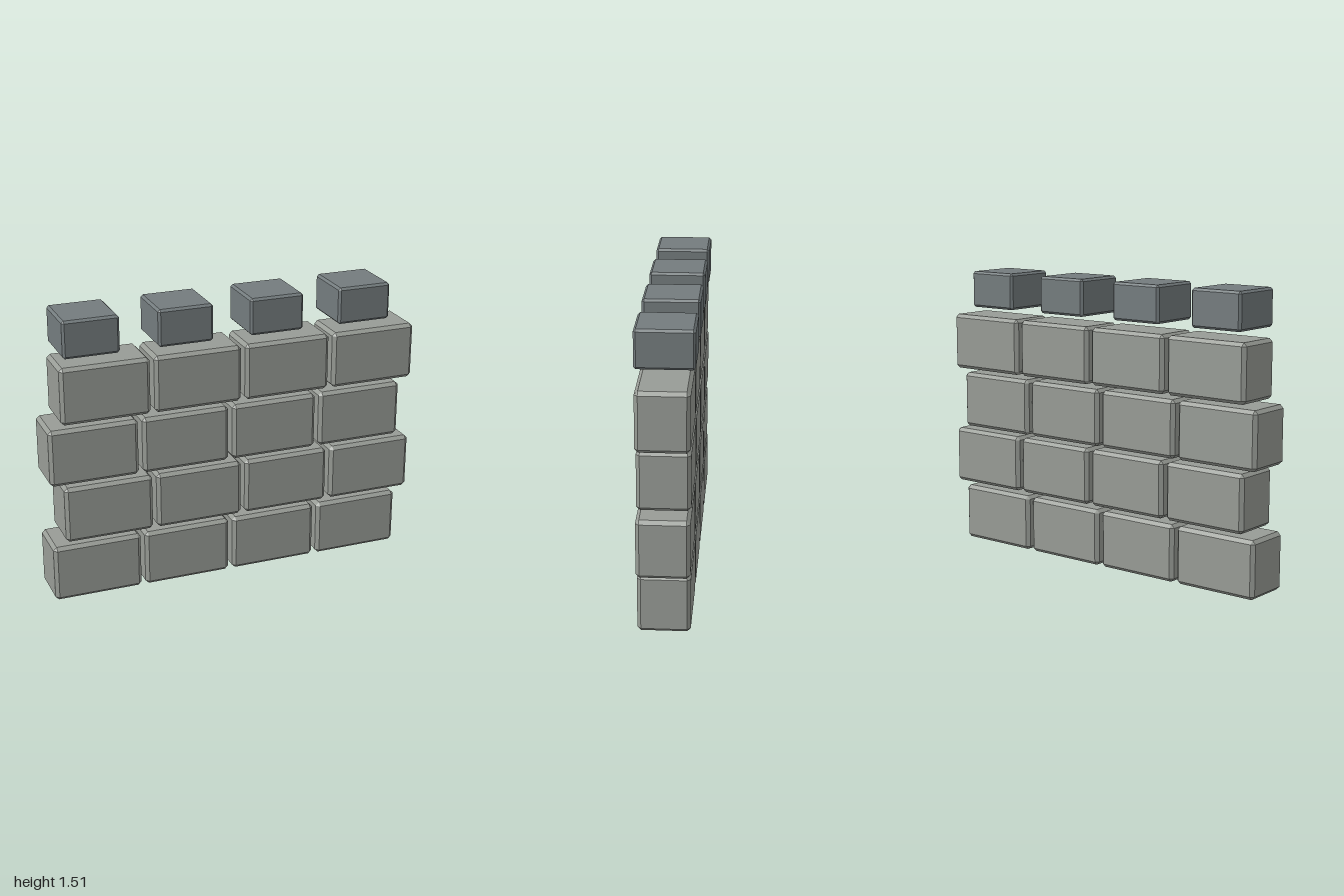
import * as THREE from 'three';
import { ConvexGeometry } from 'three/addons/geometries/ConvexGeometry.js';

// Box with every edge chamfered and every corner cut to a small triangle
function chamferedBox(w, h, d, c) {
  const points = [];
  for (const x of [-1, 1]) for (const y of [-1, 1]) for (const z of [-1, 1]) {
    for (let axis = 0; axis < 3; axis++) {
      const inset = [c, c, c];
      inset[axis] = 0;
      points.push(new THREE.Vector3(
        x * (w / 2 - inset[0]),
        y * (h / 2 - inset[1]),
        z * (d / 2 - inset[2])
      ));
    }
  }
  return new ConvexGeometry(points);
}

export function createModel() {
  const model = new THREE.Group();
  model.name = 'battlementWall';

  const stone = new THREE.MeshStandardMaterial({ color: 0x989c96, flatShading: true });
  const darkStone = new THREE.MeshStandardMaterial({ color: 0x747c7e, flatShading: true });

  const columns = 4, rows = 4;
  const pitch = 0.488, rowPitch = 0.32, firstX = -0.767, stagger = 0.07;
  const blockHeight = 0.3;

  const blockGeometry = chamferedBox(0.466, blockHeight, 0.26, 0.018);
  const merlonGeometry = chamferedBox(0.29, 0.194, 0.29, 0.012);

  // Four courses, every second one shifted sideways
  for (let r = 0; r < rows; r++) {
    const course = new THREE.Group();
    course.name = `course${r + 1}`;
    course.position.set((r % 2) * stagger, blockHeight / 2 + r * rowPitch, 0);
    for (let i = 0; i < columns; i++) {
      const block = new THREE.Mesh(blockGeometry, stone);
      block.name = 'stoneBlock';
      block.position.x = firstX + i * pitch;
      course.add(block);
    }
    model.add(course);
  }

  // Merlons above the top course
  const merlons = new THREE.Group();
  merlons.name = 'merlons';
  merlons.position.y = 1.409;
  for (let i = 0; i < columns; i++) {
    const merlon = new THREE.Mesh(merlonGeometry, darkStone);
    merlon.name = 'merlon';
    merlon.position.x = firstX + i * pitch;
    merlons.add(merlon);
  }
  model.add(merlons);

  return model;
}
